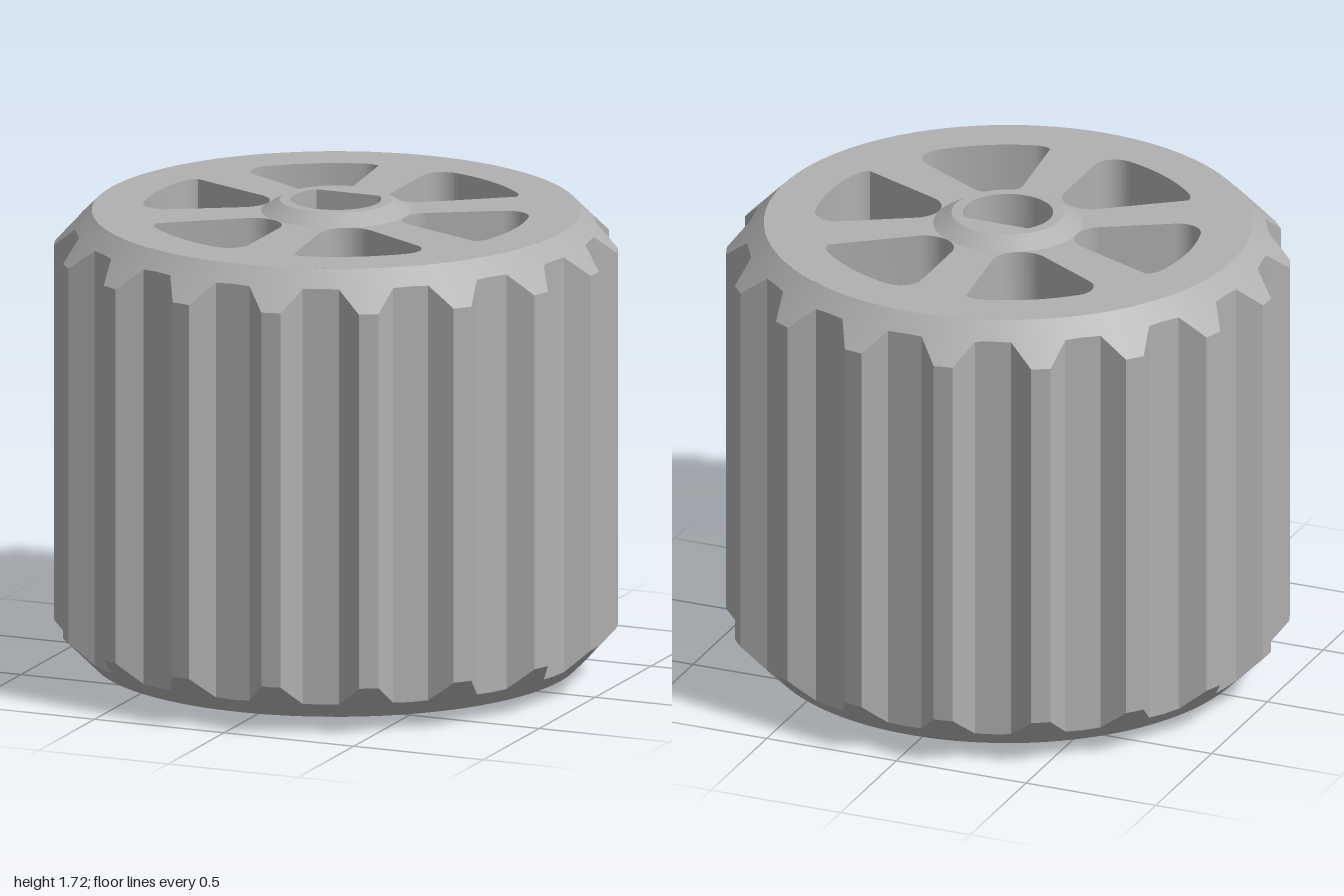
import * as THREE from 'three';
import { toCreasedNormals } from 'three/addons/utils/BufferGeometryUtils.js';

const TEETH = 18, TOP = 1.72, FACE_LOW = 0.045, FACE_HIGH = 1.68;
const FACE_R = 0.865, TIP_R = 1, ROOT_R = 0.926, PLATE = 0.2;
const rad = THREE.MathUtils.degToRad;
const polar = (r, deg) => new THREE.Vector2(r * Math.cos(rad(deg)), r * Math.sin(rad(deg)));
const crease = (g) => toCreasedNormals(g, rad(28));

// Toothed outline, each edge halved so the chamfer follows it neatly
function toothOutline() {
  const corners = [];
  for (let i = 0; i < TEETH; i++) {
    const a = (i * 360) / TEETH;
    corners.push(polar(ROOT_R, a - 6), polar(TIP_R, a - 2), polar(TIP_R, a + 2), polar(ROOT_R, a + 6));
  }
  return corners.flatMap((p, i) => [p, p.clone().lerp(corners[(i + 1) % corners.length], 0.5)]);
}

// Toothed wall, cut by a 45 degree chamfer cone at both ends
function toothedShell() {
  const loops = toothOutline().map((p) => {
    const r = p.length(), c = p.clone().setLength(FACE_R), drop = r - FACE_R;
    return [
      [c.x, FACE_LOW, c.y], [p.x, FACE_LOW + drop, p.y],
      [p.x, FACE_HIGH - drop, p.y], [c.x, FACE_HIGH, c.y],
    ];
  });
  const pos = [];
  loops.forEach((cur, i) => {
    const next = loops[(i + 1) % loops.length];
    for (let k = 0; k < 3; k++) {
      pos.push(...cur[k], ...cur[k + 1], ...next[k + 1], ...cur[k], ...next[k + 1], ...next[k]);
    }
  });
  const g = new THREE.BufferGeometry();
  g.setAttribute('position', new THREE.Float32BufferAttribute(pos, 3));
  return crease(g);
}

// Rounded wedge window between two spokes, centred on the given angle
function spokeWindow(deg) {
  const rot = rad(deg), half = 0.08, outer = 0.69, fillet = 0.08, innerR = 0.105, innerC = 0.37;
  const at = (x, y) => new THREE.Vector2(x, y).rotateAround(new THREE.Vector2(), rot);
  const swing = 30 - THREE.MathUtils.radToDeg(Math.asin((half + fillet) / (outer - fillet)));
  const path = new THREE.Path();
  const arc = (c, r, from, to, cw) => path.absarc(c.x, c.y, r, rad(from) + rot, rad(to) + rot, cw);
  const low = polar(outer - fillet, -swing), high = polar(outer - fillet, swing);
  arc(at(innerC, 0), innerR, 120, 240, false);
  arc(at(low.x, low.y), fillet, -60, -swing, false);
  arc(at(0, 0), outer, -swing, swing, false);
  arc(at(high.x, high.y), fillet, swing, 120, false);
  path.closePath();
  return path;
}

const disc = (r) => new THREE.Shape().absarc(0, 0, r, 0, Math.PI * 2, false);

function extrudeUp(shape, height, curveSegments) {
  const g = new THREE.ExtrudeGeometry(shape, { depth: height, bevelEnabled: false, curveSegments });
  return crease(g.rotateX(-Math.PI / 2));
}

export function createModel() {
  const group = new THREE.Group();
  const grey = new THREE.MeshStandardMaterial({ color: 0xb0b0b0 });
  grey.name = 'plain grey';
  const add = (name, geometry, y = 0) => {
    const mesh = new THREE.Mesh(geometry, grey);
    mesh.name = name;
    mesh.position.y = y;
    group.add(mesh);
  };

  add('toothedRim', toothedShell());

  // Spoked end plates
  const plate = disc(FACE_R);
  for (let i = 0; i < 6; i++) plate.holes.push(spokeWindow(i * 60));
  plate.holes.push(new THREE.Path().absarc(0, 0, 0.2, 0, Math.PI * 2, true));
  const plateGeometry = extrudeUp(plate, PLATE, 48);
  add('bottomSpokePlate', plateGeometry, FACE_LOW);
  add('topSpokePlate', plateGeometry, FACE_HIGH - PLATE);

  // Inside wall of the hollow rim, facing the axis
  const wall = [[0.72, FACE_HIGH - PLATE], [0.72, FACE_LOW + PLATE]].map((p) => new THREE.Vector2(...p));
  add('rimInnerWall', new THREE.LatheGeometry(wall, 96));

  // Hub sleeve with a bevelled collar at each end
  const sleeve = [
    [0.2, 0], [0.265, FACE_LOW], [0.26, FACE_LOW + 0.005],
    [0.26, FACE_HIGH - 0.005], [0.265, FACE_HIGH], [0.2, TOP],
  ].map((p) => new THREE.Vector2(...p));
  add('hubSleeve', crease(new THREE.LatheGeometry(sleeve, 64)));

  // Hub core with a D-shaped shaft bore, flat side to the back
  const core = disc(0.2);
  const flat = Math.asin(0.105 / 0.16);
  const bore = new THREE.Path().absarc(0, 0, 0.16, Math.PI - flat, Math.PI * 2 + flat, false);
  bore.closePath();
  core.holes.push(bore);
  add('hubCore', extrudeUp(core, TOP, 32));

  return group;
}
